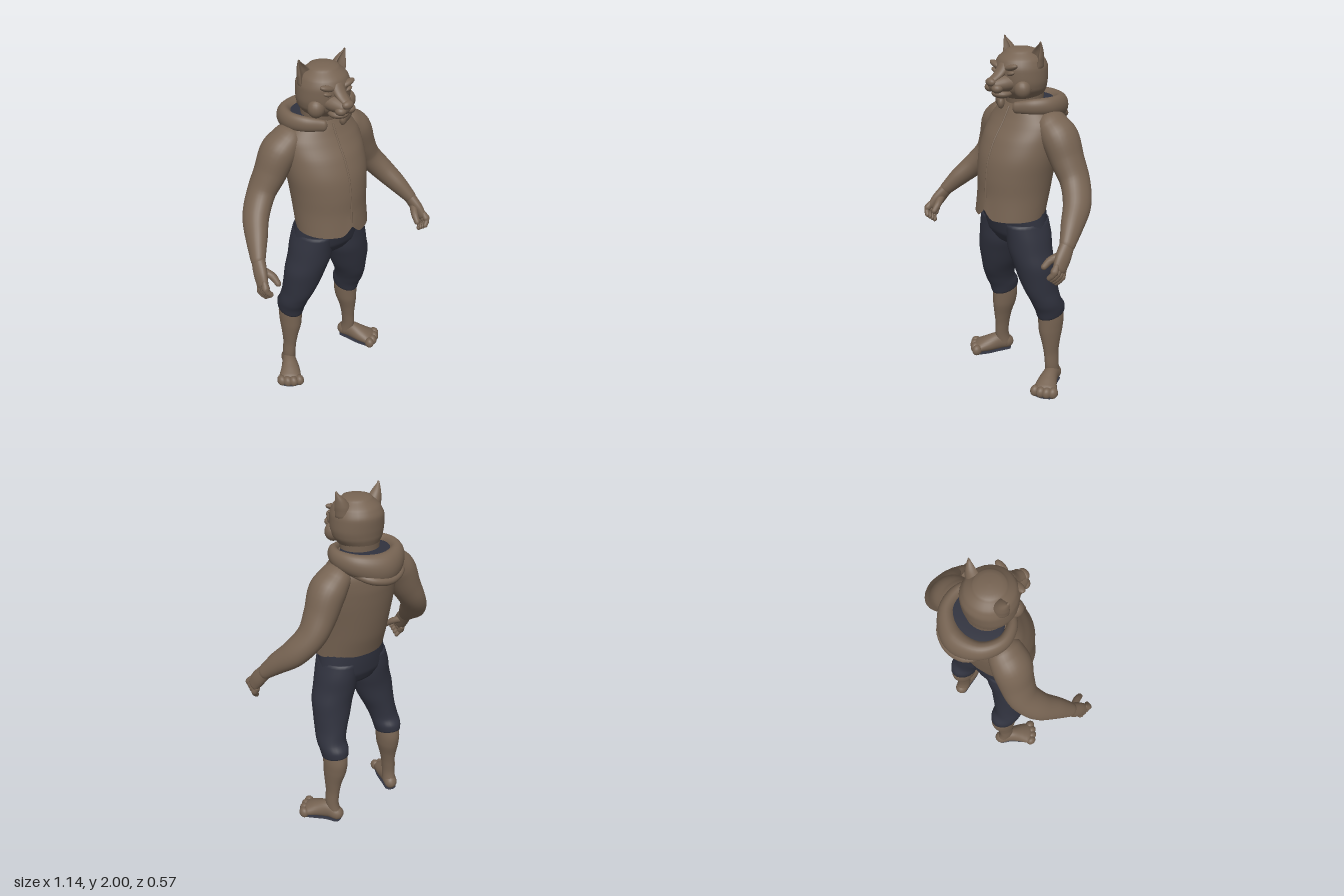
import * as THREE from 'three';

const brown = new THREE.MeshStandardMaterial({ color: 0x766352, side: THREE.DoubleSide });
brown.name = 'brown fur and vest';
const navy = new THREE.MeshStandardMaterial({ color: 0x30323e, side: THREE.DoubleSide });
navy.name = 'dark navy cloth';

// Smooth skin through rings [x, y, z, ra, rb]. Without ref the rings lie flat
// (ra along x, rb along z, listed bottom to top); with ref they follow the path,
// rb pointing along ref. dome = length of the rounded ends.
function loft(name, mat, rings, { ref, dome, shape, warp, steps = 5, seg = 28, openStart = false } = {}) {
  const path = new THREE.CatmullRomCurve3(rings.map(r => new THREE.Vector3(r[0], r[1], r[2])));
  const size = new THREE.CatmullRomCurve3(rings.map(r => new THREE.Vector3(r[3], r[4], 0)));
  const n = (rings.length - 1) * steps;
  const list = [];
  const frame = (t) => {
    if (!ref) return { t: new THREE.Vector3(0, 1, 0), u: new THREE.Vector3(0, 0, 1), v: new THREE.Vector3(1, 0, 0) };
    const tan = path.getTangent(t);
    const v = ref.clone().addScaledVector(tan, -ref.dot(tan)).normalize();
    return { t: tan, u: v.clone().cross(tan), v };
  };
  const add = (t, angle, side) => {
    const f = frame(t), r = size.getPoint(t), c = path.getPoint(t);
    const len = dome ?? Math.min(r.x, r.y);
    c.addScaledVector(f.t, side * len * Math.sin(angle));
    const k = Math.max(Math.cos(angle), 0.001);
    list.push({ c, f, a: (ref ? r.x : r.y) * k, b: (ref ? r.y : r.x) * k });
  };
  const caps = [1, 0.8, 0.55, 0.27].map(k => k * Math.PI / 2);
  if (!openStart) caps.forEach(a => add(0, a, -1));
  for (let i = 0; i <= n; i++) add(i / n, 0, 0);
  [...caps].reverse().forEach(a => add(1, a, 1));

  const pos = [], index = [];
  list.forEach((r, i) => {
    for (let j = 0; j < seg; j++) {
      const th = j / seg * Math.PI * 2;
      const [c, s] = shape ? shape(Math.cos(th), Math.sin(th)) : [Math.cos(th), Math.sin(th)];
      const p = r.c.clone().addScaledVector(r.f.u, r.a * c).addScaledVector(r.f.v, r.b * s);
      if (warp) warp(p);
      pos.push(p.x, p.y, p.z);
      if (i < list.length - 1) {
        const k = (j + 1) % seg, a = i * seg + j, b = i * seg + k;
        index.push(a, b, b + seg, a, b + seg, a + seg);
      }
    }
  });
  const g = new THREE.BufferGeometry();
  g.setAttribute('position', new THREE.Float32BufferAttribute(pos, 3));
  g.setIndex(index);
  g.computeVertexNormals();
  const m = new THREE.Mesh(g, mat);
  m.name = name;
  return m;
}

function blob(name, mat, [x, y, z], [rx, ry, rz], tilt = 0) {
  const m = new THREE.Mesh(new THREE.SphereGeometry(1, 20, 14), mat);
  m.name = name;
  m.position.set(x, y, z);
  m.scale.set(rx, ry, rz);
  m.rotation.z = tilt;
  return m;
}

const X = new THREE.Vector3(1, 0, 0), Y = new THREE.Vector3(0, 1, 0), Z = new THREE.Vector3(0, 0, 1);
// Centred ring given by height, half width, front z and back z
const ring = (y, rx, front, back) => [0, y, (front + back) / 2, rx, (front - back) / 2];

function buildHead() {
  const g = new THREE.Group();
  g.name = 'head';
  g.add(loft('neck', brown, [ring(1.56, 0.12, 0.07, -0.15), ring(1.66, 0.105, 0.06, -0.135), ring(1.76, 0.11, 0.07, -0.14)], { dome: 0.01 }));
  g.add(loft('skull', brown, [
    ring(1.715, 0.105, 0.085, -0.135), ring(1.755, 0.134, 0.115, -0.147), ring(1.8, 0.142, 0.125, -0.152),
    ring(1.86, 0.138, 0.128, -0.155), ring(1.905, 0.12, 0.112, -0.135), ring(1.94, 0.082, 0.07, -0.095)], { dome: 0.02 }));
  g.add(loft('muzzle', brown, [
    [0, 1.795, 0.07, 0.085, 0.055], [0, 1.79, 0.13, 0.066, 0.046], [0, 1.785, 0.175, 0.046, 0.034]], { ref: Y, dome: 0.022 }));
  g.add(loft('noseBridge', brown, [
    [0, 1.87, 0.1, 0.04, 0.03], [0, 1.835, 0.14, 0.032, 0.02], [0, 1.812, 0.18, 0.026, 0.016]], { ref: Y }));
  g.add(blob('nose', brown, [0, 1.805, 0.19], [0.032, 0.022, 0.022]));
  g.add(blob('lowerJaw', brown, [0, 1.738, 0.115], [0.055, 0.026, 0.056]));
  for (const s of [1, -1]) {
    g.add(blob('brow', brown, [s * 0.06, 1.875, 0.105], [0.045, 0.016, 0.022], s * 0.3));
    g.add(blob('eyelid', brown, [s * 0.062, 1.845, 0.11], [0.026, 0.011, 0.014], s * 0.3));
    g.add(blob('cheek', brown, [s * 0.095, 1.765, 0.06], [0.046, 0.05, 0.045]));
    g.add(blob('muzzlePad', brown, [s * 0.027, 1.773, 0.17], [0.03, 0.024, 0.03]));
    // Pointed ear with a hollow front
    g.add(loft('ear', brown, [
      [s * 0.096, 1.87, -0.02, 0.045, 0.05], [s * 0.102, 1.915, -0.02, 0.043, 0.046],
      [s * 0.118, 1.955, -0.022, 0.027, 0.03], [s * 0.138, 1.99, -0.02, 0.007, 0.008]],
    { dome: 0.01, shape: (c, v) => [c > 0 ? c * (0.75 - 1.0 * c * c) : c, v] }));
  }
  return g;
}

function buildVest() {
  const g = new THREE.Group();
  g.name = 'vest';
  // Hem rises to a notch at the front opening and a little at the back
  const hem = (p) => {
    const w = THREE.MathUtils.clamp((1.2 - p.y) / 0.12, 0, 1);
    p.y += w * (p.z > 0.05 ? 0.05 * Math.max(0, 1 - Math.abs(p.x) / 0.05) : 0.1 * (0.05 - p.z));
  };
  g.add(loft('vestBody', brown, [
    ring(1.075, 0.205, 0.25, -0.122), ring(1.2, 0.206, 0.235, -0.155), ring(1.3, 0.214, 0.23, -0.175),
    ring(1.4, 0.226, 0.213, -0.19), ring(1.5, 0.228, 0.17, -0.2), ring(1.58, 0.22, 0.115, -0.195),
    ring(1.64, 0.175, 0.08, -0.17), ring(1.68, 0.12, 0.058, -0.14)],
  { warp: hem, openStart: true, seg: 64, dome: 0.005 }));
  g.add(loft('frontSeam', brown, [
    [0, 1.125, 0.242, 0.006, 0.005], [0, 1.3, 0.23, 0.006, 0.005], [0, 1.4, 0.213, 0.006, 0.005],
    [0, 1.5, 0.17, 0.006, 0.005], [0, 1.58, 0.115, 0.006, 0.005], [0, 1.66, 0.07, 0.006, 0.005]], { ref: X, seg: 8 }));
  // Hood lying folded around the neck
  const half = [[0.06, 1.665, 0.075, 0.018, 0.03], [0.135, 1.672, 0.015, 0.028, 0.042],
    [0.17, 1.67, -0.07, 0.033, 0.048], [0.13, 1.655, -0.175, 0.042, 0.06]];
  const mirrored = [...half].reverse().map(([x, ...r]) => [-x, ...r]);
  g.add(loft('hood', brown, [...half, [0, 1.627, -0.228, 0.06, 0.083], ...mirrored], { ref: Y, steps: 7 }));
  g.add(loft('hoodFold', brown, [[0.15, 1.62, -0.15, 0.02, 0.02], [0.09, 1.59, -0.235, 0.03, 0.024],
    [0, 1.575, -0.262, 0.03, 0.026], [-0.09, 1.59, -0.235, 0.03, 0.024], [-0.15, 1.62, -0.15, 0.02, 0.02]], { ref: Y }));
  g.add(loft('hoodLining', navy, [ring(1.655, 0.15, 0.03, -0.2), ring(1.69, 0.148, 0.03, -0.2)], { dome: 0.004 }));
  return g;
}

function buildArm(s) {
  const g = new THREE.Group();
  g.name = s > 0 ? 'leftArm' : 'rightArm';
  const limb = (name, rings, opt = {}) => g.add(loft(name, brown, rings.map(([x, ...r]) => [s * x, ...r]), { ref: Z, ...opt }));
  limb('armAndForearm', [
    [0.19, 1.575, -0.065, 0.075, 0.095], [0.245, 1.515, -0.068, 0.092, 0.105], [0.295, 1.41, -0.075, 0.083, 0.095],
    [0.355, 1.31, -0.075, 0.07, 0.085], [0.425, 1.215, -0.025, 0.064, 0.078], [0.478, 1.135, 0.06, 0.052, 0.062],
    [0.518, 1.065, 0.13, 0.036, 0.043]]);
  limb('palm', [[0.515, 1.07, 0.125, 0.033, 0.04], [0.535, 1.01, 0.175, 0.03, 0.046], [0.546, 0.965, 0.208, 0.024, 0.042]]);
  for (const o of [-0.033, -0.011, 0.011, 0.033]) {
    const y = 0.965 + o * 0.65, z = 0.205 + o * 0.75;
    limb('finger', [[0.546, y, z, 0.016, 0.015], [0.55, y - 0.035, z + 0.024, 0.016, 0.015],
      [0.532, y - 0.06, z + 0.034, 0.014, 0.013]], { seg: 12 });
  }
  limb('thumb', [[0.52, 1.02, 0.165, 0.022, 0.022], [0.488, 0.995, 0.215, 0.02, 0.02], [0.478, 0.965, 0.25, 0.016, 0.016]], { seg: 14 });
  return g;
}

function buildLeg(s) {
  const g = new THREE.Group();
  g.name = s > 0 ? 'leftLeg' : 'rightLeg';
  const part = (name, mat, rings, opt) => g.add(loft(name, mat, rings.map(([x, ...r]) => [s * x, ...r]), opt));
  // Cropped trouser leg, hem lower at the front
  part('trouserLeg', navy, [
    [0.207, 0.465, -0.062, 0.07, 0.086], [0.206, 0.51, -0.052, 0.078, 0.09], [0.204, 0.56, -0.025, 0.083, 0.09],
    [0.188, 0.63, -0.003, 0.09, 0.1], [0.168, 0.71, 0.012, 0.107, 0.107], [0.15, 0.8, 0.025, 0.12, 0.115],
    [0.126, 0.88, 0.03, 0.122, 0.125], [0.115, 0.96, 0.03, 0.115, 0.132], [0.1, 1.04, 0.035, 0.105, 0.135]],
  { dome: 0.006, warp: p => { if (p.y < 0.58) p.y -= 0.22 * (p.z + 0.06) * Math.min(1, (0.58 - p.y) / 0.1); } });
  part('shin', brown, [
    [0.225, 0.05, -0.07, 0.037, 0.048], [0.231, 0.12, -0.055, 0.035, 0.045], [0.225, 0.2, -0.054, 0.035, 0.048],
    [0.219, 0.28, -0.055, 0.045, 0.06], [0.21, 0.36, -0.06, 0.059, 0.078], [0.207, 0.43, -0.063, 0.063, 0.083],
    [0.205, 0.5, -0.055, 0.06, 0.078]], { dome: 0.01 });
  part('foot', brown, [
    [0.222, 0.048, -0.088, 0.04, 0.042], [0.243, 0.062, -0.04, 0.043, 0.056], [0.278, 0.052, 0.025, 0.058, 0.047],
    [0.308, 0.042, 0.066, 0.068, 0.036]], { ref: Y });
  for (const o of [-0.054, -0.018, 0.018, 0.054]) {
    const reach = 0.012 * (1 - Math.abs(o) / 0.054);
    g.add(blob('toe', brown, [s * (0.318 + o * 0.81 + reach * 0.6), 0.037, 0.086 - o * 0.55 + reach * 0.8], [0.027, 0.034, 0.032]));
  }
  part('sole', navy, [[0.222, 0.005, -0.088, 0.035, 0.004], [0.243, 0.005, -0.04, 0.038, 0.004],
    [0.278, 0.005, 0.025, 0.052, 0.004], [0.318, 0.005, 0.085, 0.06, 0.004]], { ref: Y, dome: 0.025 });
  return g;
}

export function createModel() {
  const model = new THREE.Group();
  model.name = 'standingFigure';
  model.add(buildHead(), buildVest());
  model.add(loft('trouserHips', navy, [
    ring(0.915, 0.17, 0.13, -0.085), ring(0.97, 0.218, 0.165, -0.11), ring(1.04, 0.208, 0.185, -0.118),
    ring(1.12, 0.194, 0.205, -0.122)], { dome: 0.03 }));
  for (const s of [1, -1]) model.add(buildArm(s), buildLeg(s));
  return model;
}
